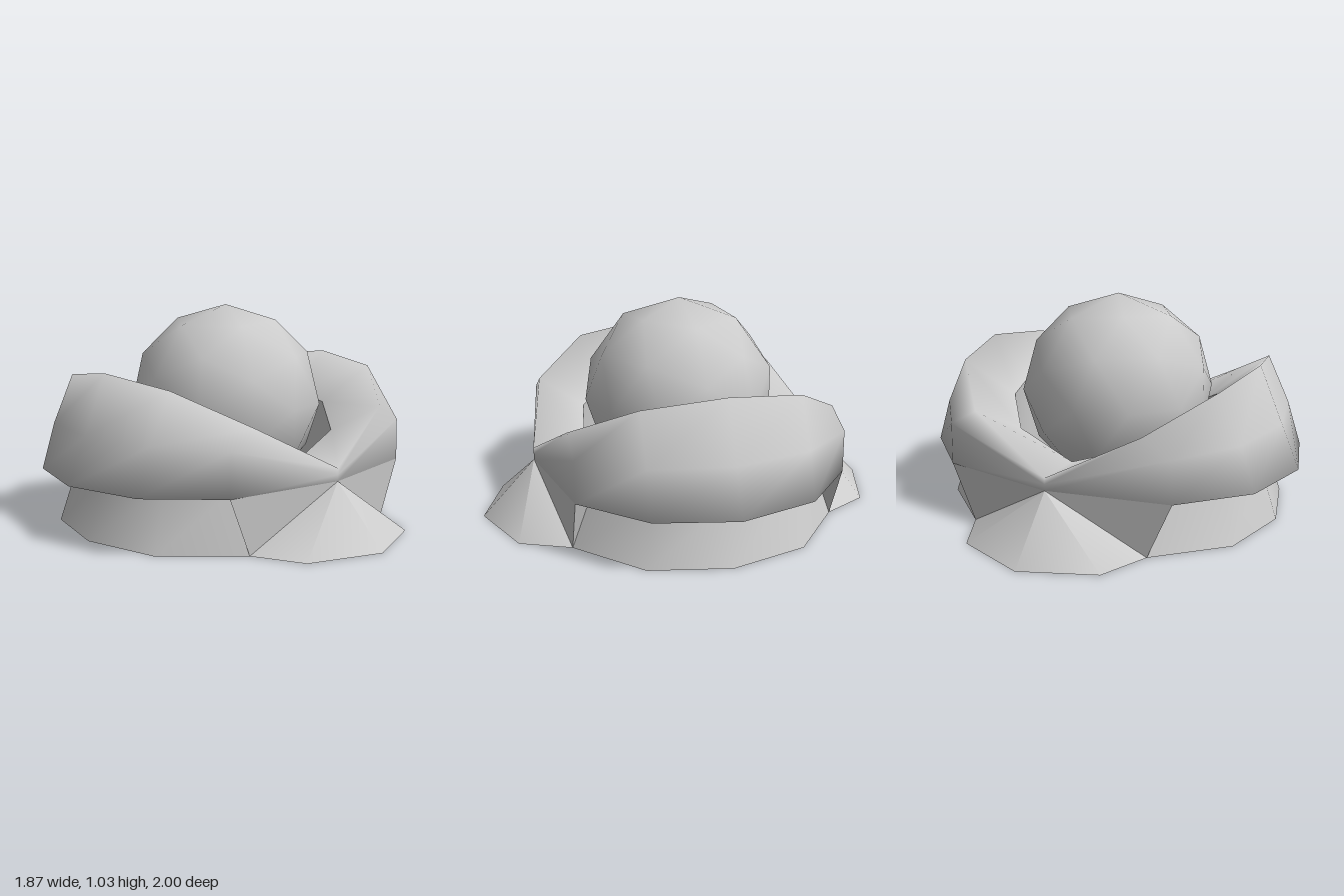
import * as THREE from 'three';

const material = new THREE.MeshStandardMaterial({ color: 0xcccccc, side: THREE.DoubleSide });

// Skin rows of points, listed from bottom to top
function loft(name, rows, closed) {
  const n = rows[0].length;
  const index = [];
  for (let r = 0; r < rows.length - 1; r++) {
    for (let i = 0; i < (closed ? n : n - 1); i++) {
      const j = (i + 1) % n;
      const a = r * n + i, b = r * n + j, c = a + n, d = b + n;
      index.push(a, c, b, b, c, d);
    }
  }
  const geometry = new THREE.BufferGeometry();
  geometry.setAttribute('position', new THREE.Float32BufferAttribute(rows.flat(2), 3));
  geometry.setIndex(index);
  geometry.computeVertexNormals();
  return named(name, geometry);
}

function named(name, geometry) {
  const mesh = new THREE.Mesh(geometry, material);
  mesh.name = name;
  return mesh;
}

const flip = (p, sx, sz) => [p[0] * sx, p[1], p[2] * sz];

// Mirror four quarter points (side to front) into a 12-point loop
function loop([a, b, c, d]) {
  return [
    a, b, c, d, flip(c, -1, 1), flip(b, -1, 1),
    flip(a, -1, 1), flip(b, -1, -1), flip(c, -1, -1), flip(d, 1, -1), flip(c, 1, -1), flip(b, 1, -1),
  ];
}

export function createModel() {
  const model = new THREE.Group();

  // Quarter outlines of the collar, from the side (x) to the front (z)
  const under = [[0.75, 0.27, 0], [0.67, 0.27, 0.33], [0.45, 0.27, 0.54], [0, 0.27, 0.74]];
  const hem = [[0.935, 0.27, 0], [0.84, 0.27, 0.37], [0.565, 0.27, 0.64], [0, 0.27, 0.74]];
  const belly = [[0.845, 0.48, 0], [0.77, 0.48, 0.37], [0.56, 0.47, 0.64], [0, 0.3, 0.74]];
  const crest = [[0.73, 0.75, 0], [0.66, 0.705, 0.37], [0.42, 0.55, 0.64], [0, 0.33, 0.74]];
  const inner = [[0.52, 0.55, 0], [0.46, 0.52, 0.24], [0.31, 0.42, 0.43], [0, 0.32, 0.49]];
  const foot = [0.45, 0, 0.64];

  // Saddle-shaped collar with its inner wall
  model.add(loft('collar', [under, hem, belly, crest, inner].map(loop), true));
  const drop = inner.map(([x, , z]) => [x, 0, z]);
  model.add(loft('innerWall', [inner, drop].map(loop), true));

  // Pointed collar tips reaching the ground at the four corners
  const tips = [];
  for (const sx of [1, -1]) {
    for (const sz of [1, -1]) {
      const corners = [hem[2], foot, hem[3], under[2], foot, hem[2]].map((p) => flip(p, sx, sz));
      // Mirrored copies need the opposite winding
      for (let i = 0; i < 6; i += 3) {
        const tri = corners.slice(i, i + 3);
        tips.push(...(sx * sz > 0 ? tri : tri.reverse()));
      }
    }
  }
  const tipGeometry = new THREE.BufferGeometry();
  tipGeometry.setAttribute('position', new THREE.Float32BufferAttribute(tips.flat(), 3));
  tipGeometry.computeVertexNormals();
  model.add(named('collarTips', tipGeometry));

  // Flared side walls and the front and back flaps of the base
  const mirrorRow = ([a, b, c]) => [flip(c, 1, -1), flip(b, 1, -1), a, b, c];
  const wallRows = [[[0.84, 0, 0], [0.75, 0, 0.37], foot], under.slice(0, 3)].map(mirrorRow);
  const flapEdge = [foot, [0.34, 0, 0.87], [0, 0, 1], [-0.34, 0, 0.87], [-0.45, 0, 0.64]];
  const flapRows = [flapEdge, flapEdge.map(() => hem[3])];
  for (const s of [0, 1]) {
    const wall = loft(s ? 'rightBaseWall' : 'leftBaseWall', wallRows, false);
    const flap = loft(s ? 'backFlap' : 'frontFlap', flapRows, false);
    wall.rotation.y = flap.rotation.y = s * Math.PI;
    model.add(wall, flap);
  }

  // Flat floor
  const floorEdge = loop([[0.79, 0, 0], [0.7, 0, 0.26], [0.39, 0, 0.56], [0, 0, 0.64]]);
  const floorShape = new THREE.Shape(floorEdge.map(([x, , z]) => new THREE.Vector2(x, z)));
  model.add(named('floor', new THREE.ShapeGeometry(floorShape).rotateX(Math.PI / 2)));

  // Faceted ball, turned so that one pole faces the front
  const ball = new THREE.IcosahedronGeometry(0.475, 1)
    .rotateX(Math.atan(2 / (1 + Math.sqrt(5))))
    .rotateZ(Math.PI / 2)
    .translate(0, 0.555, 0);
  model.add(named('ball', ball));

  return model;
}
